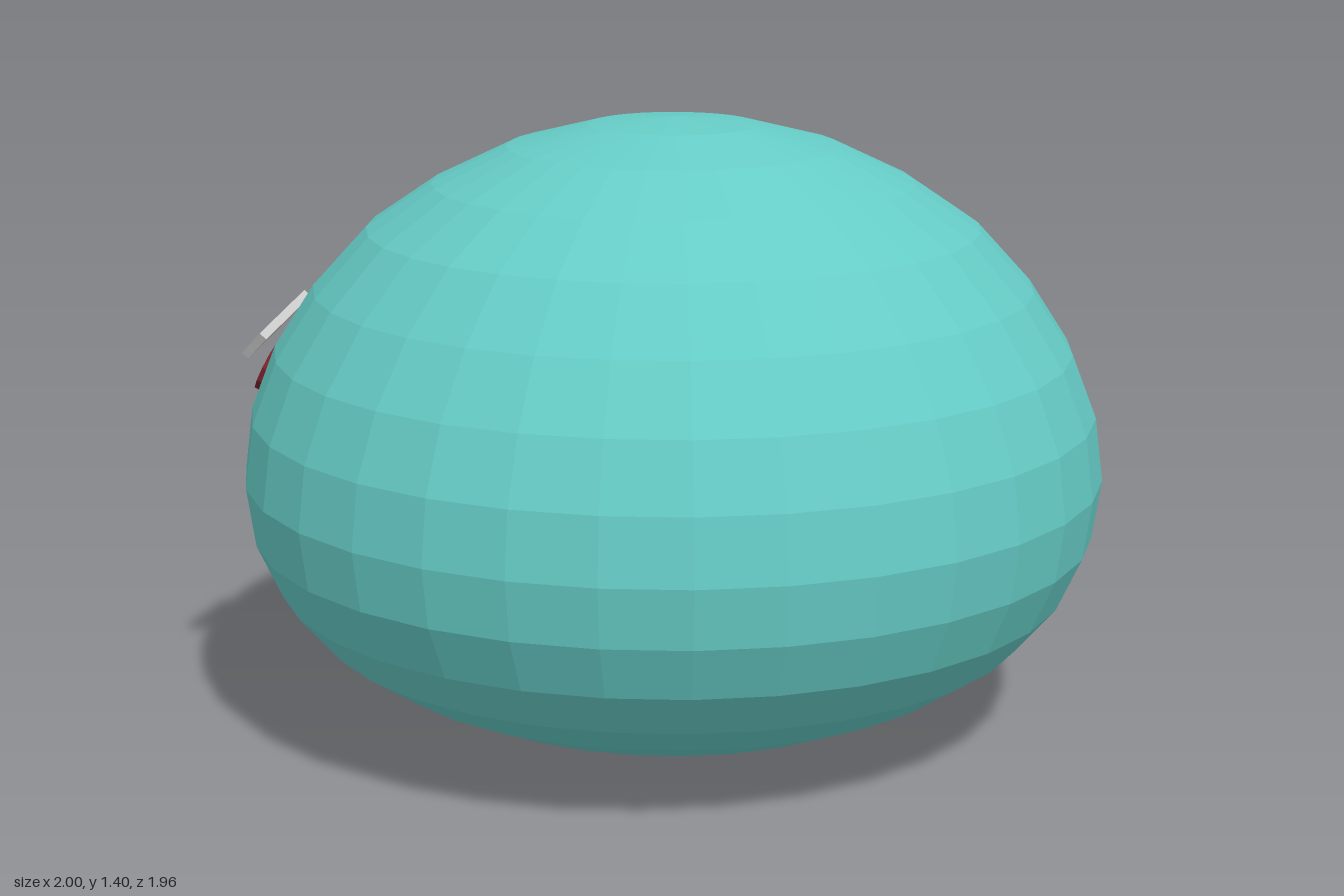
import * as THREE from 'three';

const paint = (color) => new THREE.MeshStandardMaterial({ color, flatShading: true });

function addPart(group, name, geometry, material) {
  const mesh = new THREE.Mesh(geometry, material);
  mesh.name = name;
  group.add(mesh);
  return mesh;
}

// Turn a mesh so its x axis follows `along` and its y axis leans to `up`.
function orient(mesh, along, up) {
  const x = along.clone().normalize();
  const z = x.clone().cross(up).normalize();
  const y = z.clone().cross(x);
  mesh.quaternion.setFromRotationMatrix(new THREE.Matrix4().makeBasis(x, y, z));
}

export function createModel() {
  const model = new THREE.Group();
  model.name = 'blobCreature';
  const teal = paint(0x66ccc6);
  const eyeRed = paint(0x7a222b);
  const mouthRed = paint(0x8e1208);
  const grey = paint(0xcccccc);

  // Body: squashed faceted ball, ring heights listed from bottom to top
  const heights = [0.005, 0.015, 0.042, 0.09, 0.158, 0.24, 0.347, 0.47, 0.603,
    0.747, 0.89, 1.03, 1.163, 1.264, 1.345, 1.393, 1.41];
  const profile = heights.map((y, i) =>
    new THREE.Vector2(Math.max(0, 0.982 * Math.sin((i / 16) * Math.PI)), y));
  profile[16].x = 0;
  const body = addPart(model, 'body', new THREE.LatheGeometry(profile, 32), teal);
  body.position.x = 0.015;

  // Flat plate behind the mouth
  const plate = addPart(model, 'mouthPlate', new THREE.BoxGeometry(0.015, 0.15, 0.39), teal);
  plate.position.set(-0.953, 0.673, 0);
  plate.rotation.z = -0.12;

  // Frowning mouth: flattened half ring, its ends standing off the body
  const mouth = addPart(model, 'mouth', new THREE.TorusGeometry(0.13, 0.025, 8, 12, Math.PI), mouthRed);
  mouth.material.side = THREE.DoubleSide;
  orient(mouth, new THREE.Vector3(0, 0, 1), new THREE.Vector3(0.28, 0.96, 0));
  mouth.scale.set(1, 0.84, 0.25);
  mouth.position.set(-0.993, 0.6, 0.035);

  for (const side of [1, -1]) {
    const label = side > 0 ? 'front' : 'back';

    // Eye: thin round disc lying on the body
    const eye = addPart(model, label + 'Eye', new THREE.CylinderGeometry(0.058, 0.058, 0.012, 10), eyeRed);
    eye.position.set(-0.813, 0.82, 0.44 * side);
    eye.quaternion.setFromUnitVectors(new THREE.Vector3(0, 1, 0),
      new THREE.Vector3(-0.8, 0.44, 0.4 * side).normalize());

    // Brow: slab sloping down towards its outer end
    const brow = addPart(model, label + 'Brow', new THREE.BoxGeometry(0.2, 0.085, 0.02), grey);
    orient(brow, new THREE.Vector3(0.02, -0.07, 0.2 * side), new THREE.Vector3(0.07, 0.065, 0));
    brow.position.set(-0.76, 0.932, 0.47 * side);
  }
  return model;
}
